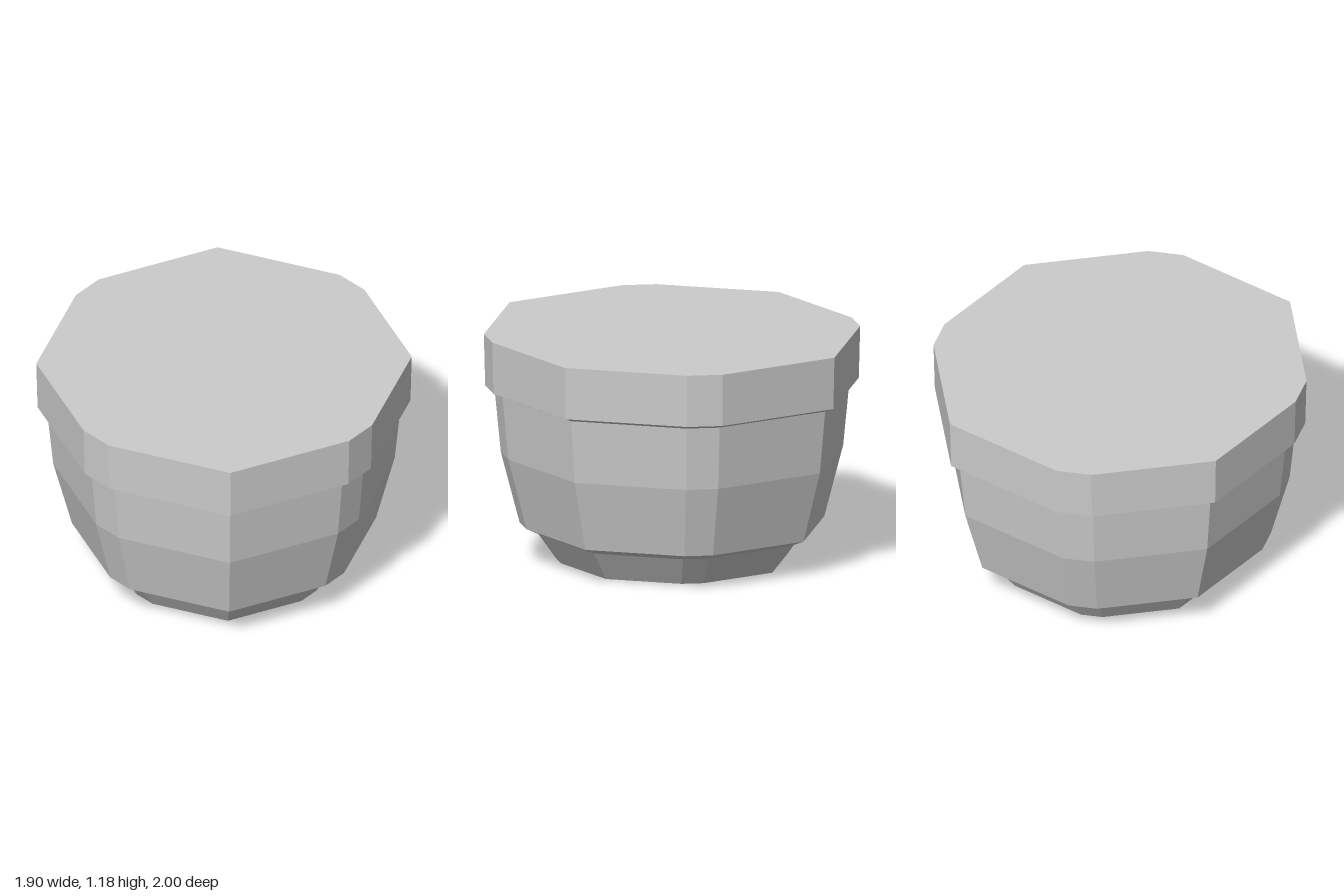
import * as THREE from 'three';

// One quadrant of the twelve-sided outline, from +z round to +x
const quadrant = [[0, 1], [0.61, 0.735], [0.73, 0.6], [0.95, 0]];
const flip = (sx, sz) => quadrant.map(([x, z]) => [x * sx, z * sz]);
const outline = [
  ...flip(1, 1),
  ...flip(1, -1).reverse().slice(1),
  ...flip(-1, -1).slice(1),
  ...flip(-1, 1).reverse().slice(1, -1),
];

// Stacks scaled copies of the outline; each level is [scale, height]
function shell(name, levels, capped) {
  const n = outline.length;
  const positions = [];
  const point = ([scale, y], i) => {
    const [x, z] = outline[i % n];
    return [x * scale, y, z * scale];
  };
  for (let k = 0; k < levels.length - 1; k++) {
    for (let i = 0; i < n; i++) {
      const a = point(levels[k], i), b = point(levels[k], i + 1);
      const c = point(levels[k + 1], i + 1), d = point(levels[k + 1], i);
      positions.push(...a, ...b, ...c, ...a, ...c, ...d);
    }
  }
  if (capped) {
    const top = levels[levels.length - 1];
    for (let i = 0; i < n; i++) {
      positions.push(0, top[1], 0, ...point(top, i), ...point(top, i + 1));
    }
  }
  const geometry = new THREE.BufferGeometry();
  geometry.setAttribute('position', new THREE.Float32BufferAttribute(positions, 3));
  geometry.computeVertexNormals();
  const material = new THREE.MeshStandardMaterial({
    color: 0xcccccc, flatShading: true, side: THREE.DoubleSide,
  });
  const mesh = new THREE.Mesh(geometry, material);
  mesh.name = name;
  return mesh;
}

export function createModel() {
  const group = new THREE.Group();
  group.name = 'pot';
  group.add(
    // Tapered foot, open underneath
    shell('foot', [[0.617, 0], [0.73, 0.155], [0.81, 0.19]], false),
    // Bowl wall
    shell('body', [[0.81, 0.19], [0.91, 0.56], [0.943, 0.888]], false),
    // Overhanging rim with a flat closed top
    shell('rim', [[0.943, 0.888], [0.993, 0.908], [1, 1.177]], true),
  );
  return group;
}
